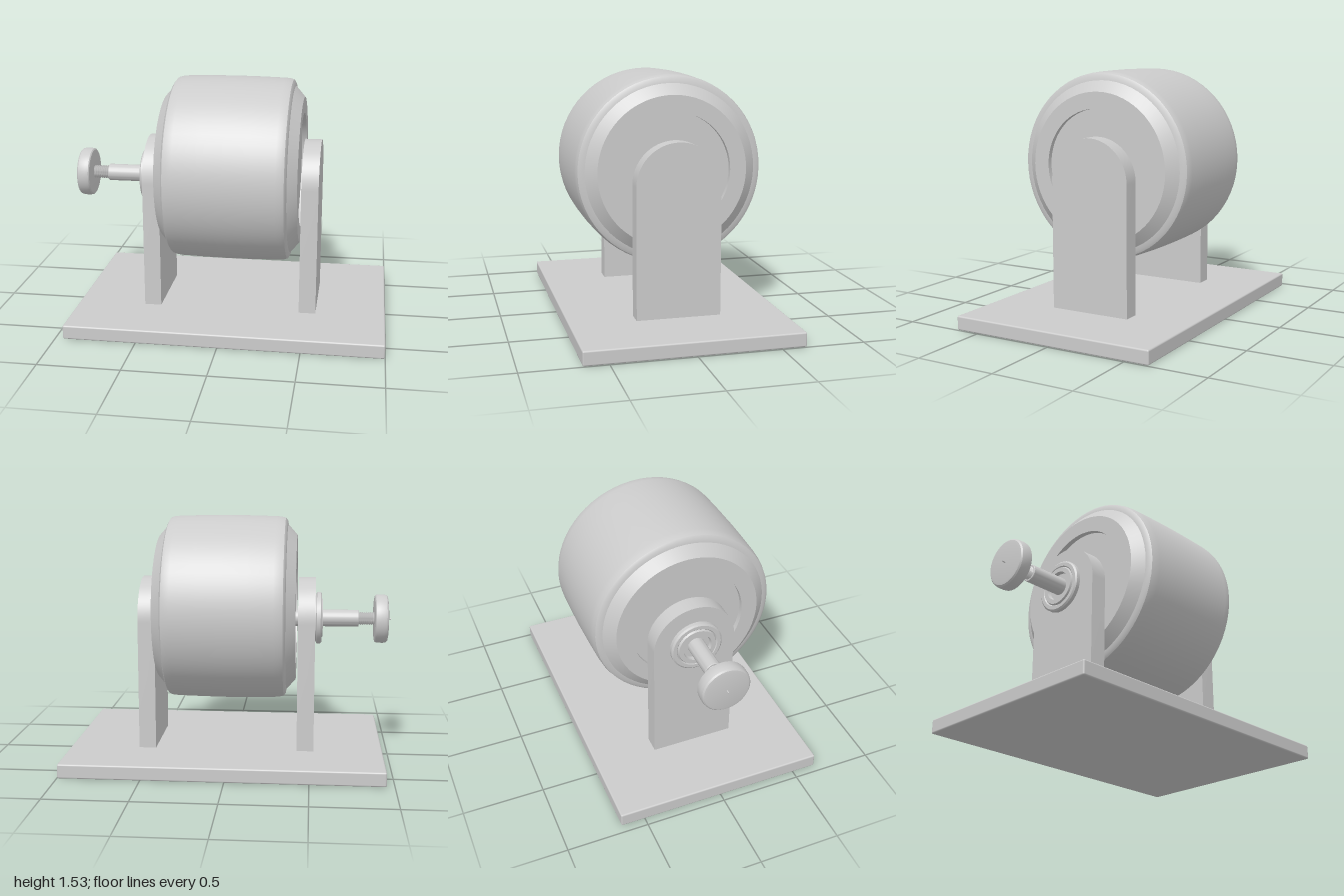
import * as THREE from 'three';
import { toCreasedNormals } from 'three/addons/utils/BufferGeometryUtils.js';
import { RoundedBoxGeometry } from 'three/addons/geometries/RoundedBoxGeometry.js';

const material = new THREE.MeshStandardMaterial({ color: 0xcccccc });

function addMesh(parent, name, geometry) {
  const mesh = new THREE.Mesh(geometry, material);
  mesh.name = name;
  parent.add(mesh);
  return mesh;
}

// Solid of revolution about the x axis from [x, radius] pairs, left to right
function turned(profile, segments = 48) {
  const points = profile.map(([x, r]) => new THREE.Vector2(r, x));
  const geometry = new THREE.LatheGeometry(points, segments);
  geometry.rotateZ(-Math.PI / 2);
  return toCreasedNormals(geometry, 0.5);
}

// Upright slab with a semicircular top, spanning x0 to x0 + thickness
function archedPost(halfWidth, bottom, top, thickness, x0) {
  const shape = new THREE.Shape();
  shape.moveTo(-halfWidth, bottom);
  shape.lineTo(halfWidth, bottom);
  shape.lineTo(halfWidth, top - halfWidth);
  shape.absarc(0, top - halfWidth, halfWidth, 0, Math.PI, false);
  shape.closePath();
  const geometry = new THREE.ExtrudeGeometry(shape, {
    depth: thickness, bevelEnabled: false, curveSegments: 32,
  });
  geometry.rotateY(Math.PI / 2);
  geometry.translate(x0, 0, -0.008);
  return toCreasedNormals(geometry, 0.5);
}

export function createModel() {
  const model = new THREE.Group();
  model.name = 'drumOnStand';

  // Base plate
  const base = addMesh(model, 'basePlate', new RoundedBoxGeometry(1.95, 0.088, 1.3, 2, 0.01));
  base.position.set(0.023, 0.044, 0);

  // Support posts
  addMesh(model, 'rightPost', archedPost(0.258, 0.08, 1.142, 0.105, -0.525));
  addMesh(model, 'leftPost', archedPost(0.258, 0.08, 1.142, 0.105, 0.46));

  // Drum with chamfered rims and shallow recessed hubs
  const drum = addMesh(model, 'drum', turned([
    [-0.375, 0], [-0.375, 0.355], [-0.407, 0.355], [-0.407, 0.455],
    [-0.35, 0.52], [-0.346, 0.545], [-0.335, 0.56], [-0.31, 0.567], [-0.28, 0.57],
    [-0.13, 0.574], [0.02, 0.576], [0.18, 0.574],
    [0.33, 0.57], [0.36, 0.567], [0.38, 0.56], [0.388, 0.545], [0.393, 0.52],
    [0.45, 0.455], [0.45, 0.355], [0.418, 0.355], [0.418, 0],
  ], 64));
  drum.position.y = 0.952;

  // Adjusting screw assembly, modelled along its own axis
  const screw = new THREE.Group();
  screw.name = 'adjustingScrew';
  screw.position.set(0, 0.886, -0.008);
  model.add(screw);

  // Flange with a raised ring and inner groove
  addMesh(screw, 'flange', turned([
    [-0.548, 0], [-0.548, 0.085], [-0.572, 0.09], [-0.572, 0.118],
    [-0.56, 0.124], [-0.566, 0.13], [-0.566, 0.152], [-0.558, 0.162],
    [-0.535, 0.162], [-0.53, 0.15], [-0.52, 0.15], [-0.52, 0],
  ]));

  // Sleeve running through the post to the drum
  addMesh(screw, 'sleeve', turned([
    [-0.797, 0], [-0.797, 0.05], [-0.794, 0.053], [-0.37, 0.053], [-0.37, 0],
  ], 32));

  // Threaded rod
  const thread = [[-0.91, 0]];
  const pitch = 0.012;
  for (let i = 0; i < 10; i++) {
    const x = -0.91 + i * pitch;
    thread.push([x, 0.034], [x + pitch / 2, 0.042]);
  }
  thread.push([-0.79, 0.034], [-0.79, 0]);
  addMesh(screw, 'threadedRod', turned(thread, 32));

  // Knob with softened edges
  addMesh(screw, 'knob', turned([
    [-0.978, 0], [-0.978, 0.125], [-0.975, 0.14], [-0.967, 0.148], [-0.95, 0.152],
    [-0.92, 0.152], [-0.902, 0.149], [-0.896, 0.142], [-0.894, 0.13], [-0.894, 0],
  ]));

  // Small pin at the centre of the knob
  addMesh(screw, 'knobPin', turned([
    [-1, 0], [-1, 0.004], [-0.97, 0.004], [-0.97, 0],
  ], 12));

  return model;
}
